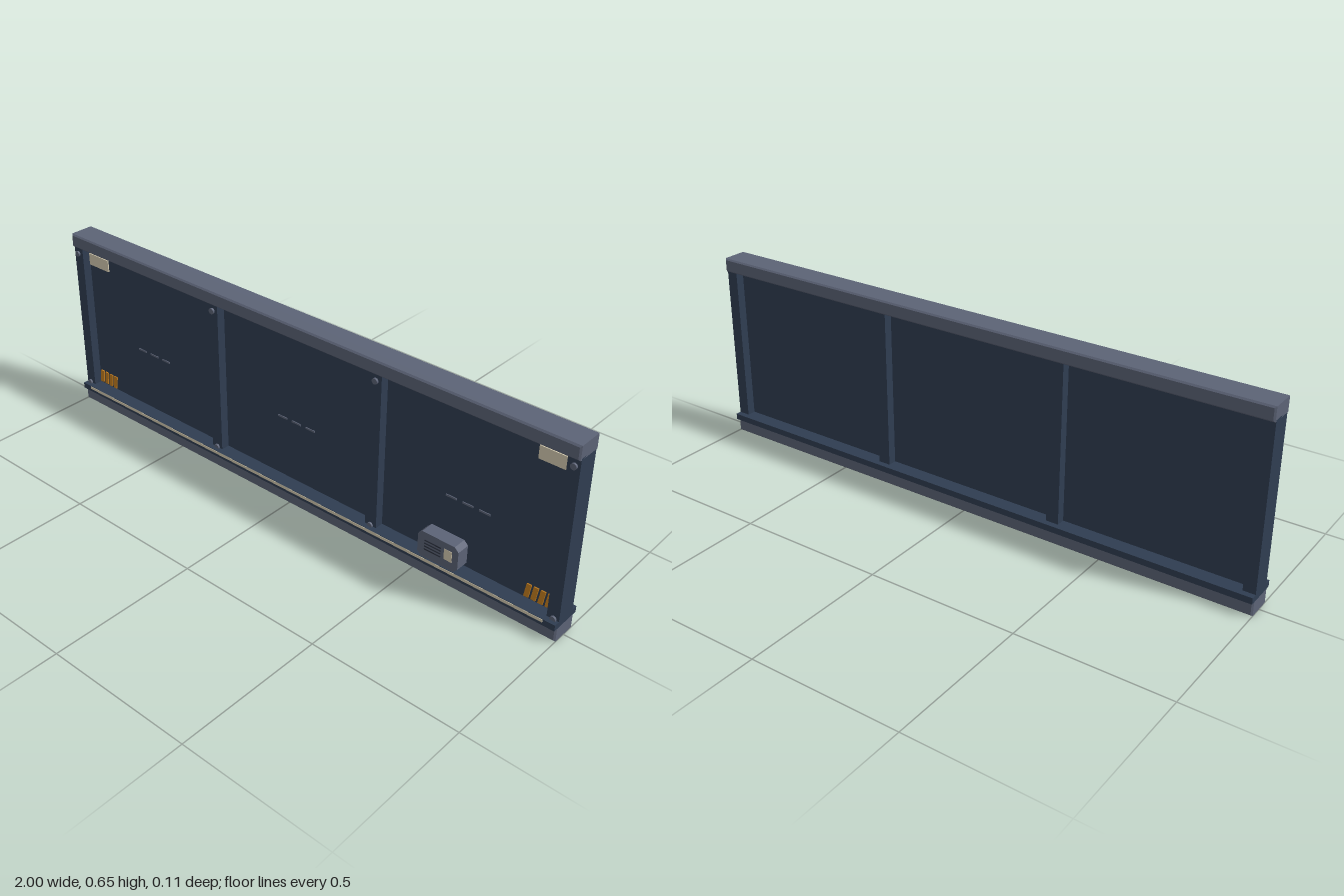
import * as THREE from 'three';

const mat = (name, color) => {
  const m = new THREE.MeshStandardMaterial({ color });
  m.name = name;
  return m;
};

export function createModel() {
  const group = new THREE.Group();
  const navy = mat('navy panel', 0x2f3d51);
  const steel = mat('steel grey', 0x5c6376);
  const cream = mat('cream', 0xd3cab0);
  const orange = mat('hazard orange', 0xc47e1f);
  const dark = mat('dark slot', 0x2a303c);

  const add = (name, geo, material, x, y, z) => {
    const mesh = new THREE.Mesh(geo, material);
    mesh.name = name;
    mesh.position.set(x, y, z);
    group.add(mesh);
    return mesh;
  };
  // Box given by its limits in x, y and z
  const box = (name, material, x0, x1, y0, y1, z0, z1) =>
    add(name, new THREE.BoxGeometry(x1 - x0, y1 - y0, z1 - z0), material,
      (x0 + x1) / 2, (y0 + y1) / 2, (z0 + z1) / 2);
  const polygon = (pts) => new THREE.Shape(pts.map(([x, y]) => new THREE.Vector2(x, y)));

  // Box with every edge chamfered by b
  const chamferBox = (w, h, d, b) => {
    const x = w / 2 - b, y = h / 2 - b;
    const geo = new THREE.ExtrudeGeometry(polygon([[-x, -y], [x, -y], [x, y], [-x, y]]), {
      depth: d - 2 * b, bevelEnabled: true, bevelThickness: b, bevelSize: b, bevelSegments: 1,
    });
    return geo.translate(0, 0, -(d / 2 - b));
  };

  const face = 0.006;   // half thickness of the panel
  const post = 0.036;   // half depth of the uprights

  // Rails, ledge and recessed panel
  add('bottomRail', chamferBox(2, 0.047, 0.092, 0.005), steel, 0, 0.0235, 0);
  add('topRail', chamferBox(2, 0.047, 0.092, 0.005), steel, 0, 0.6285, 0);
  box('ledge', navy, -1, 1, 0.047, 0.068, -0.056, 0.056);
  box('ledgeStripe', cream, -0.96, 0.96, 0.057, 0.067, 0.055, 0.0572);
  box('panel', navy, -0.98, 0.98, 0.06, 0.61, -face, face);

  // Uprights with a bolt at each end
  const boltGeo = new THREE.CylinderGeometry(0.01, 0.01, 0.009, 10).rotateX(Math.PI / 2);
  for (const [x, w, boltX] of [[-0.98, 0.04, -0.982], [-0.33, 0.043, -0.33],
    [0.33, 0.043, 0.33], [0.98, 0.04, 0.982]]) {
    box('upright', navy, x - w / 2, x + w / 2, 0.06, 0.61, -post, post);
    for (const y of [0.071, 0.581]) add('bolt', boltGeo, steel, boltX, y, post + 0.0025);
  }

  // Label plates in the upper outer corners
  for (const s of [-1, 1]) {
    add('labelPlate', new THREE.BoxGeometry(0.097, 0.042, 0.004), cream, s * 0.91, 0.559, face + 0.002);
  }

  // Slanted hazard stripes in the lower outer corners
  const stripeGeo = new THREE.ExtrudeGeometry(
    polygon([[-0.0115, -0.024], [0.0045, -0.024], [0.0115, 0.024], [-0.0045, 0.024]]),
    { depth: 0.004, bevelEnabled: false });
  for (const s of [-1, 1]) {
    for (let i = 0; i < 4; i++) {
      add('hazardStripe', stripeGeo, orange, s * 0.912 + (i - 1.5) * 0.0235, 0.096, face);
    }
  }

  // Dashed mark across the middle of each bay
  for (const bay of [-0.655, 0, 0.655]) {
    for (let i = -1; i <= 1; i++) {
      add('dash', new THREE.BoxGeometry(0.037, 0.006, 0.003), steel, bay + i * 0.058, 0.286, face + 0.0015);
    }
  }

  // Control box with cut corners, vent slots and a cream button
  const w = 0.0725, h = 0.045, c = 0.014;
  const controlGeo = new THREE.ExtrudeGeometry(polygon([
    [-w + c, -h], [w - c, -h], [w, -h + c], [w, h - c],
    [w - c, h], [-w + c, h], [-w, h - c], [-w, -h + c],
  ]), { depth: 0.047, bevelEnabled: false });
  add('controlBox', controlGeo, steel, 0.594, 0.114, face);
  for (let i = 0; i < 4; i++) {
    box('ventSlot', dark, 0.546, 0.605, 0.098 + i * 0.0105, 0.102 + i * 0.0105, 0.052, 0.0545);
  }
  box('button', cream, 0.617, 0.645, 0.099, 0.136, 0.052, 0.0545);

  return group;
}
